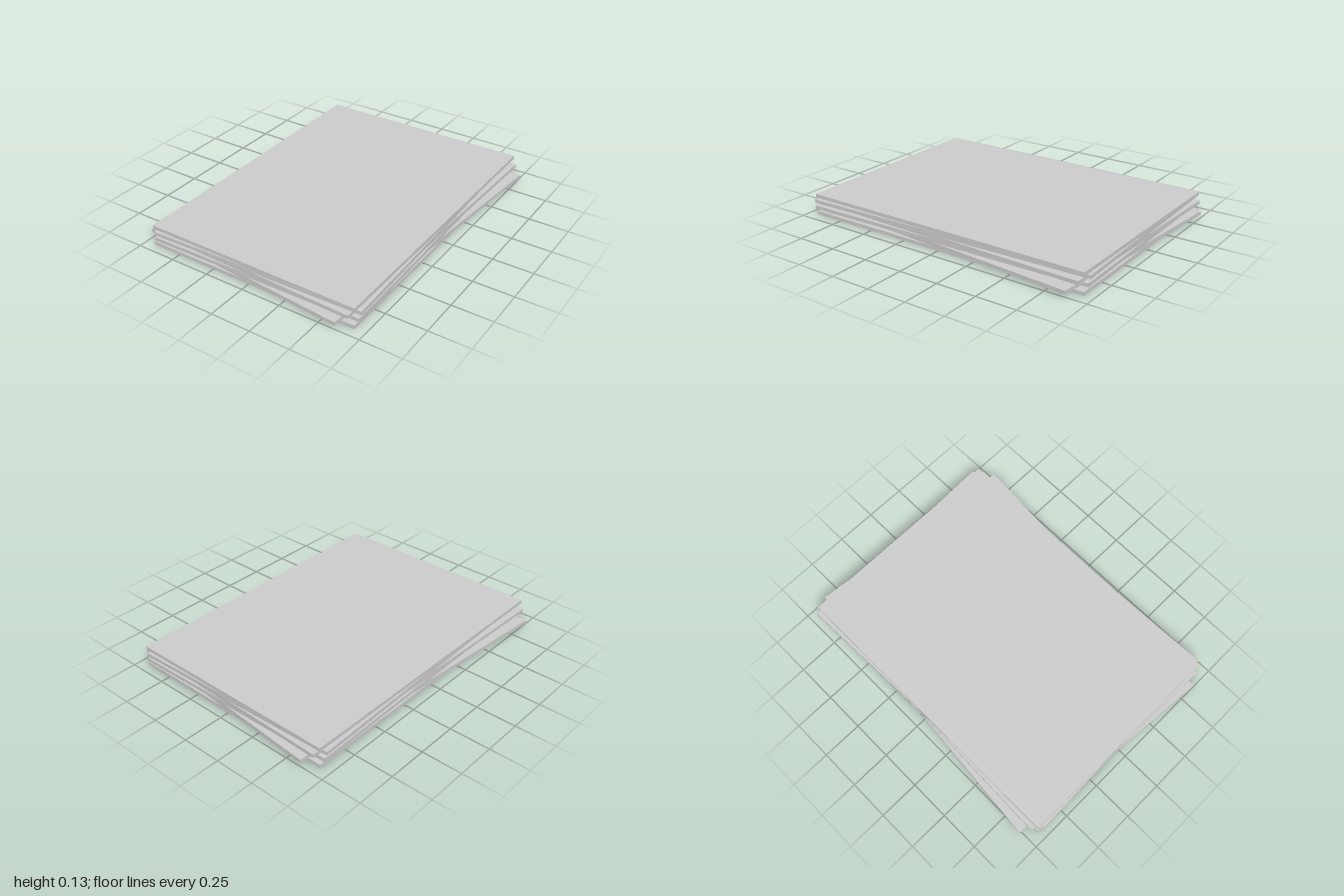
import * as THREE from 'three';

// A loose stack of thin sheets, each slightly twisted about the vertical axis
export function createModel() {
  const group = new THREE.Group();
  group.name = 'sheetStack';

  const grey = new THREE.MeshStandardMaterial({ color: 0xcccccc });
  grey.name = 'light grey';

  const width = 1.37, depth = 1.888, thickness = 0.022;
  const sheet = new THREE.BoxGeometry(width, thickness, depth);

  // Twist of each sheet in degrees, from bottom to top
  const twists = [0, -5, 1.15, -1.7, 1.75, 0];
  twists.forEach((degrees, i) => {
    const mesh = new THREE.Mesh(sheet, grey);
    mesh.name = `sheet${i + 1}`;
    mesh.position.y = thickness * (i + 0.5);
    mesh.rotation.y = THREE.MathUtils.degToRad(degrees);
    group.add(mesh);
  });

  return group;
}
